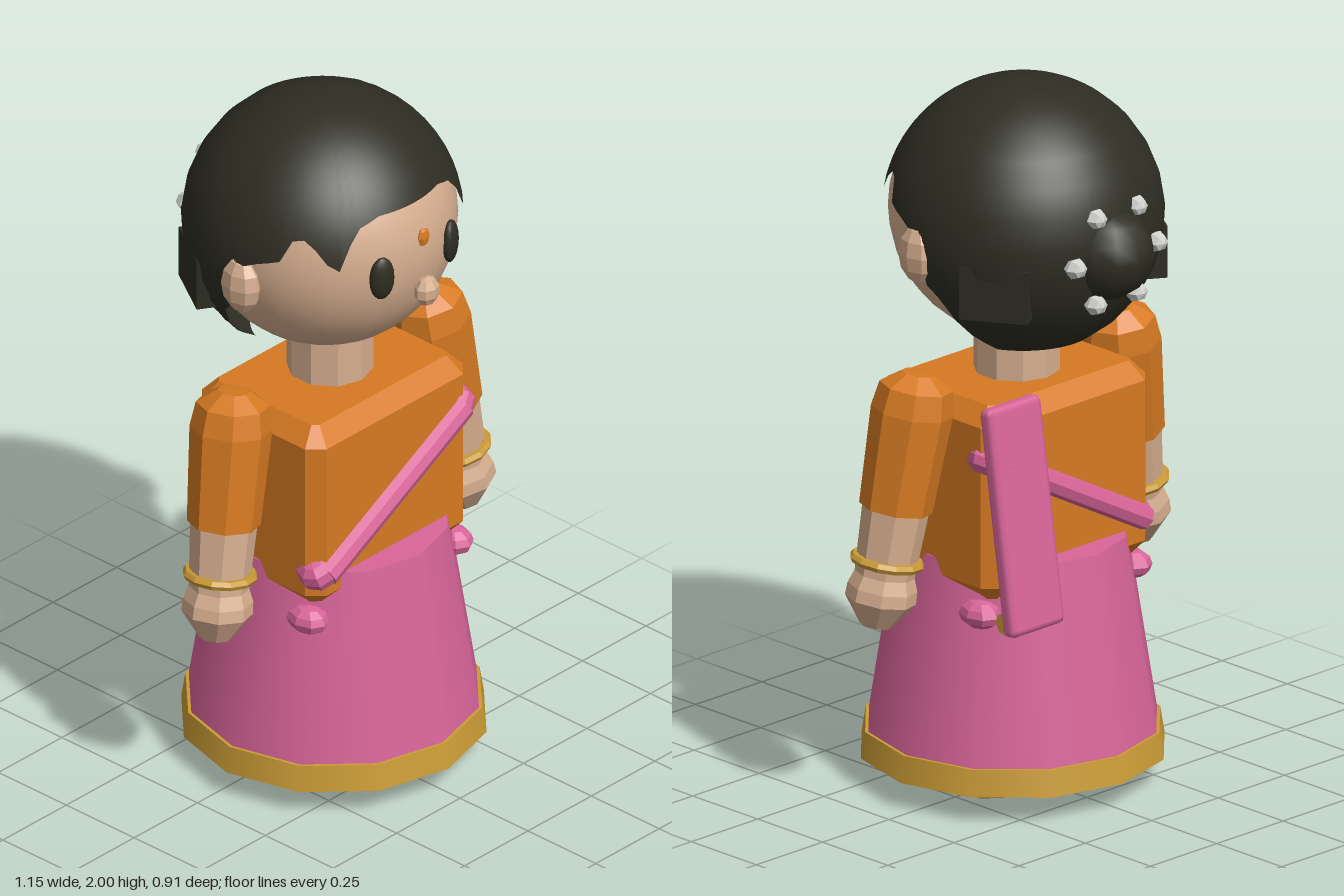
import * as THREE from 'three';
import { RoundedBoxGeometry } from 'three/addons/geometries/RoundedBoxGeometry.js';

const colours = { hair: 0x2d2d22, skin: 0xd6ae8f, orange: 0xd67a22, pink: 0xd9659a, gold: 0xcb9c36, petal: 0xd0d0cc };
const mats = {};
for (const [name, hex] of Object.entries(colours)) {
  mats[name] = new THREE.MeshStandardMaterial({ color: hex });
  mats[name].name = name;
}
mats.hair.side = THREE.DoubleSide;
mats.gold.side = THREE.DoubleSide;

// Faceted copy of a geometry
function flat(geo) {
  const g = geo.index ? geo.toNonIndexed() : geo;
  g.computeVertexNormals();
  return g;
}

function add(parent, name, geo, mat, x = 0, y = 0, z = 0) {
  const m = new THREE.Mesh(geo, mat);
  m.name = name;
  m.position.set(x, y, z);
  parent.add(m);
  return m;
}

const lathe = (pts, sides) =>
  flat(new THREE.LatheGeometry(pts.map(p => new THREE.Vector2(p[0], p[1])), sides));

// Ellipsoid with the given radii
const blob = (rx, ry, rz, w = 8, h = 6) => flat(new THREE.SphereGeometry(1, w, h).scale(rx, ry, rz));

// Hairline height by angle from the front, in degrees
const hairline = [[0, 1.8], [20, 1.8], [30, 1.78], [35, 1.74], [40, 1.67], [45, 1.69], [50, 1.73],
  [55, 1.755], [60, 1.75], [65, 1.69], [75, 1.67], [85, 1.64], [90, 1.5], [95, 1.47], [100, 1.4],
  [105, 1.35], [115, 1.29], [180, 1.29]];
function hairEnd(deg) {
  for (let i = 1; i < hairline.length; i++) {
    const [a, ya] = hairline[i - 1], [b, yb] = hairline[i];
    if (deg <= b) return ya + (yb - ya) * (deg - a) / (b - a);
  }
  return hairline.at(-1)[1];
}

// Spherical cap whose lower edge follows the hairline
function hairGeometry(R, cy) {
  const cols = 72, rows = 12, pos = [], nor = [], idx = [];
  for (let r = 0; r <= rows; r++) {
    for (let c = 0; c <= cols; c++) {
      const deg = -180 + c * 360 / cols, a = deg * Math.PI / 180;
      const t = Math.acos((hairEnd(Math.abs(deg)) - cy) / R) * r / rows;
      const n = [Math.sin(t) * Math.sin(a), Math.cos(t), Math.sin(t) * Math.cos(a)];
      nor.push(...n);
      pos.push(...n.map(v => v * R));
      if (r < rows && c < cols) {
        const i = r * (cols + 1) + c, j = i + cols + 1;
        idx.push(i, j, i + 1, j, j + 1, i + 1);
      }
    }
  }
  const g = new THREE.BufferGeometry();
  g.setAttribute('position', new THREE.Float32BufferAttribute(pos, 3));
  g.setAttribute('normal', new THREE.Float32BufferAttribute(nor, 3));
  g.setIndex(idx);
  return g;
}

function buildHead(root) {
  const head = new THREE.Group();
  head.name = 'head';
  root.add(head);
  add(head, 'face', new THREE.SphereGeometry(1, 32, 20).scale(0.357, 0.357, 0.357), mats.skin, 0, 1.635, 0.005);
  add(head, 'hair', hairGeometry(0.382, 1.618), mats.hair, 0, 1.618, -0.006);
  add(head, 'nose', blob(0.04, 0.044, 0.032, 8, 5), mats.skin, 0, 1.545, 0.378);
  add(head, 'foreheadDot', blob(0.022, 0.028, 0.012, 6, 4), mats.orange, 0, 1.708, 0.366);
  for (const s of [-1, 1]) {
    add(head, 'ear', blob(0.045, 0.083, 0.064), mats.skin, s * 0.36, 1.58, 0.03);
    const eye = add(head, 'eye', new THREE.SphereGeometry(1, 14, 10).scale(0.037, 0.064, 0.02), mats.hair, s * 0.135, 1.625, 0.338);
    eye.rotation.y = s * 0.38;
    // swept lock behind each ear
    const lock = add(head, 'sideLock', new THREE.BoxGeometry(0.19, 0.15, 0.06), mats.hair, s * 0.288, 1.51, -0.195);
    lock.rotation.y = s * 2.13;
  }
  // bun ringed with flowers
  add(head, 'bun', new THREE.SphereGeometry(0.13, 12, 8), mats.hair, 0, 1.587, -0.327);
  for (let i = 0; i < 6; i++) {
    const a = i * Math.PI / 3;
    const f = add(head, 'flower', blob(0.032, 0.032, 0.03, 6, 4), mats.petal,
      Math.cos(a) * 0.152, 1.587 + Math.sin(a) * 0.142, -0.362);
    f.rotation.x = Math.PI / 2;
  }
}

function buildTorso(root) {
  // chamfered block
  const x = 0.265, z = 0.185, c = 0.015;
  const shape = new THREE.Shape([[-x + c, -z], [x - c, -z], [x, -z + c], [x, z - c],
    [x - c, z], [-x + c, z], [-x, z - c], [-x, -z + c]].map(p => new THREE.Vector2(...p)));
  const geo = new THREE.ExtrudeGeometry(shape, { depth: 0.46, bevelEnabled: true, bevelSegments: 1, bevelSize: 0.045, bevelThickness: 0.05 });
  geo.rotateX(-Math.PI / 2);
  add(root, 'bodice', geo, mats.orange, 0, 0.655, 0.03);
  add(root, 'neck', flat(new THREE.CylinderGeometry(0.118, 0.118, 0.2, 10)), mats.skin, 0, 1.23, 0.02);
}

function buildSkirt(root) {
  add(root, 'skirt', new THREE.CylinderGeometry(0.315, 0.413, 0.628, 12), mats.pink, 0, 0.388, 0.035);
  add(root, 'hem', new THREE.CylinderGeometry(0.41, 0.422, 0.075, 12, 1, true), mats.gold, 0, 0.1125, 0.035);
  add(root, 'hemTop', new THREE.RingGeometry(0.38, 0.41, 12).rotateX(-Math.PI / 2), mats.gold, 0, 0.15, 0.035);
  for (const s of [-1, 1]) {
    const foot = add(root, 'foot', lathe([[0, 0], [0.55, 0], [1, 0.06], [1, 0.1]], 8), mats.gold, s * 0.16, 0, 0.035);
    foot.scale.set(0.125, 1, 0.24);
    for (const z of [0.205, -0.13])
      add(root, 'waistKnot', blob(0.05, 0.04, 0.065), mats.pink, s * 0.285, 0.57, z);
  }
}

function buildSash(root) {
  const sash = new THREE.Group();
  sash.name = 'sash';
  root.add(sash);
  // diagonal bands on the chest and the back
  for (const [z, endZ] of [[0.258, 0.225], [-0.195, -0.145]]) {
    const a = new THREE.Vector3(-0.27, 0.72, z), b = new THREE.Vector3(0.27, 1.015, z);
    const d = b.clone().sub(a);
    const band = add(sash, 'sashBand', flat(new THREE.CylinderGeometry(0.036, 0.036, d.length(), 8)), mats.pink);
    band.position.copy(a).lerp(b, 0.5);
    band.rotation.z = -Math.atan2(d.x, d.y);
    for (const p of [a, b]) {
      const end = add(sash, 'sashFold', blob(0.056, 0.05, 0.062), mats.pink, p.x, p.y, endZ);
      end.rotation.z = 0.5;
    }
  }
  // loose end hanging down the back from the left shoulder
  const drape = new THREE.Group();
  drape.name = 'drape';
  drape.position.set(0.222, 0.86, -0.228);
  drape.rotation.x = 0.15;
  add(drape, 'drapeCloth', new RoundedBoxGeometry(0.2, 0.64, 0.05, 1, 0.02), mats.pink);
  const trim = add(drape, 'drapeTrim', flat(new THREE.CylinderGeometry(0.033, 0.033, 0.15, 8)), mats.gold, 0, -0.288, 0.035);
  trim.rotation.z = Math.PI / 2;
  sash.add(drape);
}

function buildArm(root, s) {
  const arm = new THREE.Group();
  arm.name = s > 0 ? 'leftArm' : 'rightArm';
  arm.position.set(s * 0.392, 1.14, 0.022);
  arm.rotation.set(-0.06, 0, s * 0.165);
  add(arm, 'sleeve', lathe([[0, -0.275], [0.1, -0.275], [0.112, 0], [0.1, 0.07], [0.045, 0.108], [0, 0.11]], 8), mats.orange);
  add(arm, 'forearm', lathe([[0, -0.5], [0.08, -0.5], [0.092, -0.26]], 8), mats.skin);
  add(arm, 'hand', lathe([[0, -0.612], [0.045, -0.608], [0.097, -0.535], [0.095, -0.5], [0.07, -0.43], [0, -0.42]], 8), mats.skin);
  const bangle = add(arm, 'bangle', flat(new THREE.TorusGeometry(0.089, 0.014, 6, 12)), mats.gold, 0, -0.425, 0);
  bangle.rotation.x = Math.PI / 2;
  root.add(arm);
}

export function createModel() {
  const root = new THREE.Group();
  root.name = 'figure';
  buildHead(root);
  buildTorso(root);
  buildSkirt(root);
  buildSash(root);
  for (const s of [-1, 1]) buildArm(root, s);
  return root;
}
